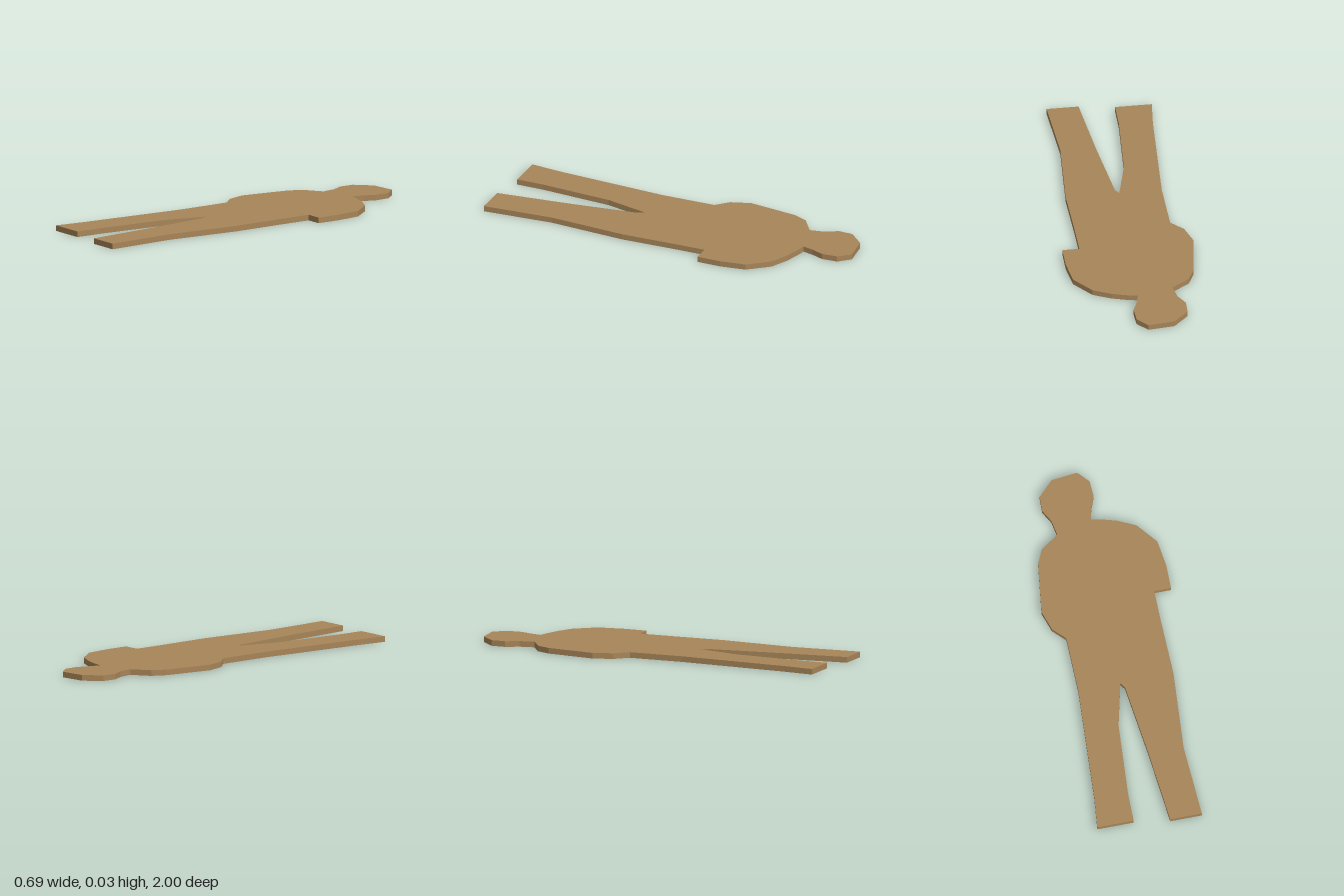
import * as THREE from 'three';

// Flat cut-out of a standing figure, lying face up on the ground
export function createModel() {
  const model = new THREE.Group();
  model.name = 'figureCutout';

  const board = new THREE.MeshStandardMaterial({ color: 0xa88659 });
  board.name = 'tan board';

  // Outline as [x, z], head towards -z
  const outline = [
    // head and neck, left side
    [-0.015, -1], [0.04, -0.94], [0.045, -0.855], [0.02, -0.79], [0.005, -0.73],
    // left shoulder and arm
    [0.055, -0.72], [0.14, -0.695], [0.235, -0.65], [0.325, -0.54], [0.345, -0.4], [0.345, -0.27], [0.255, -0.27],
    // left leg
    [0.257, -0.1], [0.265, 0.2], [0.237, 0.62], [0.26, 1], [0.09, 1], [0.05, 0.62], [0, 0.23],
    // right leg
    [-0.02, 0.2], [-0.075, 0.43], [-0.1, 0.82], [-0.1, 0.97], [-0.295, 0.97], [-0.278, 0.8], [-0.245, 0.2],
    // right arm and shoulder
    [-0.25, -0.1], [-0.315, -0.165], [-0.35, -0.27], [-0.315, -0.54], [-0.28, -0.615], [-0.185, -0.68],
    // head, right side
    [-0.2, -0.76], [-0.237, -0.825], [-0.235, -0.905], [-0.155, -0.985],
  ];

  const shape = new THREE.Shape(outline.map(([x, z]) => new THREE.Vector2(x, -z)));
  const geometry = new THREE.ExtrudeGeometry(shape, { depth: 0.03, bevelEnabled: false });
  geometry.rotateX(-Math.PI / 2);

  const figure = new THREE.Mesh(geometry, board);
  figure.name = 'figure';
  model.add(figure);
  return model;
}
